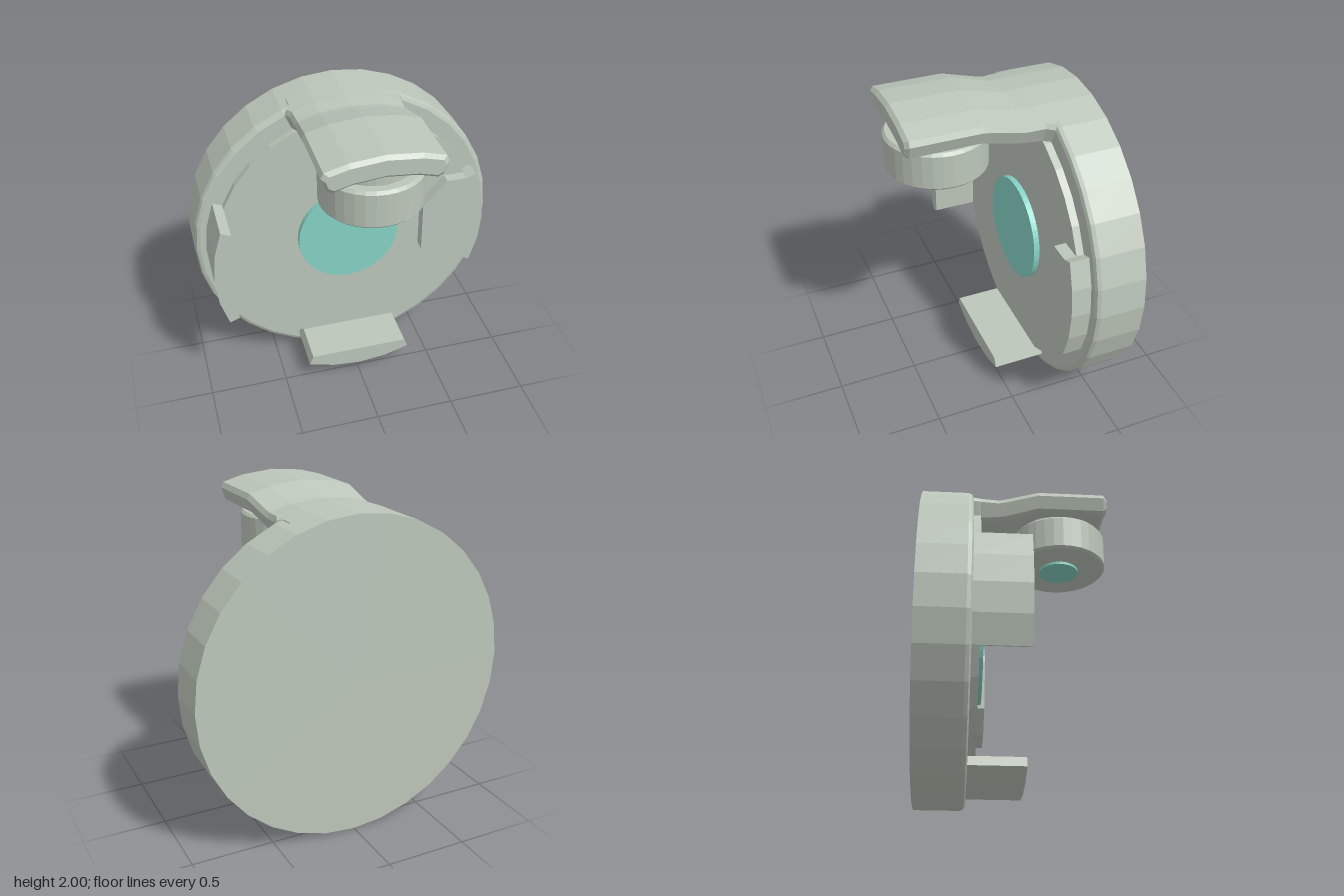
import * as THREE from 'three';

const CY = 0.973; // height of the main axis
const R = 0.968;  // housing radius

export function createModel() {
  const model = new THREE.Group();
  const body = new THREE.MeshStandardMaterial({ color: 0xbcc6ba, flatShading: true });
  body.name = 'greyGreen';
  const teal = new THREE.MeshStandardMaterial({ color: 0x86d2c5, flatShading: true });
  teal.name = 'teal';

  const add = (name, geometry, material = body) => {
    const mesh = new THREE.Mesh(geometry, material);
    mesh.name = name;
    model.add(mesh);
    return mesh;
  };
  const lathe = (points, sides = 32) =>
    new THREE.LatheGeometry(points.map(([r, h]) => new THREE.Vector2(r, h)), sides);
  // Turned part whose axis points forwards
  const disc = (name, points, material, sides) =>
    add(name, lathe(points, sides).rotateX(Math.PI / 2).translate(0, CY, 0), material);

  // Housing with a softened front rim, raised face and centre lens
  disc('housing', [[0, -0.585], [R, -0.585], [R, -0.31], [R - 0.009, -0.289], [R - 0.03, -0.28], [0, -0.28]]);
  disc('facePlate', [[0.836, -0.3], [0.836, -0.235], [0, -0.235]]);
  disc('centreLens', [[0.325, -0.24], [0.325, -0.2], [0, -0.2]], teal, 48);

  // Rim tabs: drawn on the +x side, then turned about the main axis
  const tab = (name, inner, front, turn) => {
    const arc = [-22.3, -11.25, 0, 11.25, 22.3].map((d) => {
      const t = THREE.MathUtils.degToRad(d);
      return new THREE.Vector2(0.9 * Math.cos(t), 0.9 * Math.sin(t));
    });
    const outline = [...arc, ...inner.map(([x, y]) => new THREE.Vector2(x, y))];
    const geometry = new THREE.ExtrudeGeometry(new THREE.Shape(outline), { depth: front + 0.282, bevelEnabled: false });
    add(name, geometry.rotateZ(turn).translate(0, CY, -0.282));
  };
  const chord = [[0.772, 0.317], [0.772, -0.317]];
  tab('leftTab', [[0.77, 0.317], [0.64, 0.317], [0.485, 0.155], [0.485, -0.185], [0.64, -0.317], [0.77, -0.317]], -0.163, 0);
  tab('rightTab', chord, 0.045, Math.PI);
  tab('bottomTab', chord, 0.05, -Math.PI / 2);

  // Curved arm: bevelled arc sections [z, inner radius, outer radius, half angle]
  const sections = [
    [-0.4, 0.83, 0.97, 0.365], [-0.32, 0.825, 0.97, 0.365], [-0.28, 0.82, 0.97, 0.39],
    [-0.23, 0.82, 0.97, 0.366], [-0.12, 0.828, 0.965, 0.36], [-0.07, 0.836, 0.975, 0.358],
    [0.13, 0.895, 1.027, 0.353], [0.545, 0.895, 1.027, 0.353], [0.567, 0.915, 1.005, 0.335],
  ];
  const bevel = 0.025;
  const positions = [];
  const index = [];
  for (const [z, rIn, rOut, a] of sections) {
    const edge = (r, cornerR) => [[a, cornerR], [a - bevel, r], [0.196, r], [0, r], [-0.196, r], [bevel - a, r], [-a, cornerR]];
    const loop = [...edge(rOut, rOut - bevel), ...edge(rIn, rIn + bevel).reverse()];
    for (const [t, r] of loop) positions.push(r * Math.sin(t), CY + r * Math.cos(t), z);
  }
  const N = 14;
  for (let i = 0; i < sections.length - 1; i++) {
    for (let j = 0; j < N; j++) {
      const a = i * N + j, b = i * N + (j + 1) % N;
      index.push(a, b, b + N, a, b + N, a + N);
    }
  }
  const last = (sections.length - 1) * N;
  for (let k = 0; k < N / 2 - 1; k++) {
    const [a, b, c, d] = [k, k + 1, N - 2 - k, N - 1 - k].map((v) => v + last);
    index.push(a, b, c, a, c, d);
  }
  const arm = new THREE.BufferGeometry();
  arm.setAttribute('position', new THREE.Float32BufferAttribute(positions, 3));
  arm.setIndex(index);
  arm.computeVertexNormals();
  add('arm', arm);

  // Round head hanging under the arm, with its neck and small lens
  const hang = (name, points, material) => add(name, lathe(points).translate(0, 0, 0.288), material);
  hang('headNeck', [[0.235, 1.79], [0.235, 1.88], [0, 1.88]]);
  hang('head', [[0, 1.57], [0.285, 1.57], [0.3, 1.585], [0.3, 1.785], [0.285, 1.803], [0, 1.803]]);
  hang('headLens', [[0, 1.553], [0.125, 1.553], [0.125, 1.575]], teal);

  return model;
}
